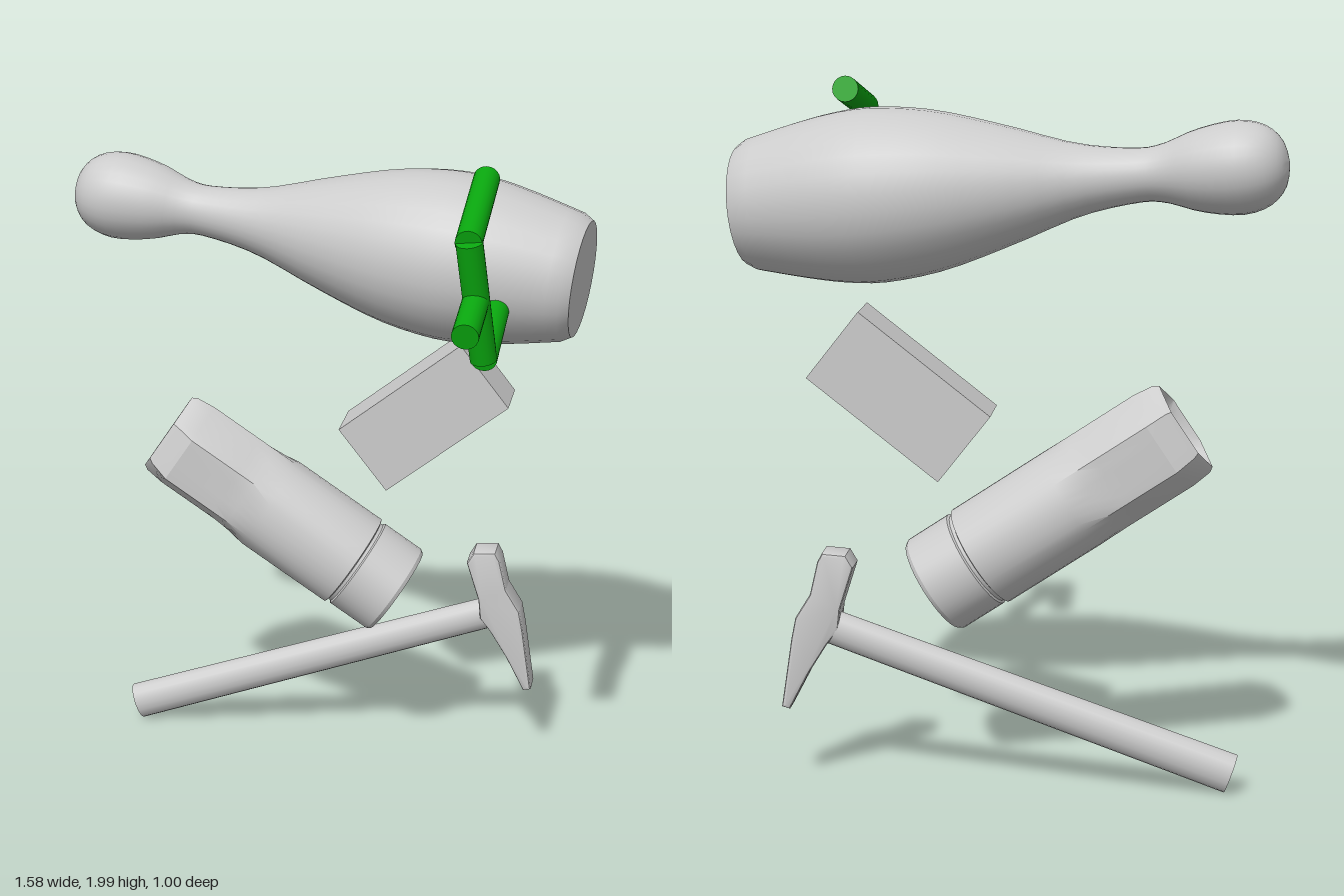
import * as THREE from 'three';
import { toCreasedNormals } from 'three/addons/utils/BufferGeometryUtils.js';

const UP = new THREE.Vector3(0, 1, 0);
const grey = new THREE.MeshStandardMaterial({ color: 0xcccccc });
const green = new THREE.MeshStandardMaterial({ color: 0x0aa80f });

function part(name, geometry, material = grey) {
  const mesh = new THREE.Mesh(geometry, material);
  mesh.name = name;
  return mesh;
}

// Cylinder between two points, optionally tapered and flattened in depth
function rod(name, from, to, r0, r1, material, flat = 1, sides = 20) {
  const a = new THREE.Vector3(...from), b = new THREE.Vector3(...to);
  const d = b.clone().sub(a);
  const mesh = part(name, new THREE.CylinderGeometry(r1, r0, d.length(), sides), material);
  mesh.position.copy(a).add(b).multiplyScalar(0.5);
  mesh.quaternion.setFromUnitVectors(UP, d.normalize());
  mesh.scale.z = flat;
  return mesh;
}

// Skin of rings stacked along y; ring = [height, round radius, flat distance, depth scale]
// A flat distance below the radius cuts six flats into the ring.
function hexLoft(rings, sides) {
  const pos = [], index = [];
  for (const [y, r, flat, depth = 1] of rings) {
    for (let j = 0; j <= sides; j++) {
      const t = (j / sides) * Math.PI * 2;
      const k = (t % (Math.PI / 3)) - Math.PI / 6;
      const d = Math.min(r, flat / Math.cos(k));
      pos.push(d * Math.cos(t), y, d * Math.sin(t) * depth);
    }
  }
  for (let i = 0; i < rings.length - 1; i++) {
    for (let j = 0; j < sides; j++) {
      const a = i * (sides + 1) + j, c = a + sides + 1;
      index.push(a, c, a + 1, a + 1, c, c + 1);
    }
  }
  const g = new THREE.BufferGeometry();
  g.setAttribute('position', new THREE.Float32BufferAttribute(pos, 3));
  g.setIndex(index);
  g.computeVertexNormals();
  return toCreasedNormals(g, 0.45);
}

function bowlingPin() {
  const curve = new THREE.SplineCurve([
    [0.19, 0.03], [0.222, 0.17], [0.243, 0.29], [0.249, 0.41], [0.226, 0.58],
    [0.168, 0.78], [0.102, 0.98], [0.077, 1.14], [0.082, 1.22], [0.115, 1.32],
    [0.131, 1.43], [0.112, 1.51], [0.065, 1.556], [0, 1.572],
  ].map(p => new THREE.Vector2(...p)));
  const profile = [new THREE.Vector2(0, 0), new THREE.Vector2(0.172, 0), ...curve.getPoints(40)];
  profile.forEach(p => { p.x = Math.max(0, p.x); });
  const pin = part('bowlingPin', toCreasedNormals(new THREE.LatheGeometry(profile, 28), 0.6));
  pin.position.set(0.765, 1.64, -0.2);
  pin.quaternion.setFromUnitVectors(UP, new THREE.Vector3(-1.42, 0.14, -0.17).normalize());
  return pin;
}

function gripper() {
  const g = new THREE.Group();
  g.name = 'gripper';
  const r = 0.038;
  const bars = {
    upperFinger: [[0.495, 1.963, -0.06], [0.495, 1.882, 0.335]],
    lowerFinger: [[0.535, 1.612, -0.135], [0.535, 1.532, 0.26]],
    crossbar: [[0.497, 1.885, 0.332], [0.535, 1.53, 0.262]],
    stem: [[0.514, 1.71, 0.295], [0.51, 1.667, 0.492]],
  };
  for (const [name, [a, b]] of Object.entries(bars)) g.add(rod(name, a, b, r, r, green));
  return g;
}

function block() {
  const box = part('block', new THREE.BoxGeometry(0.47, 0.24, 0.176));
  box.position.set(0.288, 1.14, -0.402);
  box.rotation.z = 0.665;
  return box;
}

// Round body with a grooved collar at one end and a dished hexagonal nose at the other
function socket() {
  const mesh = part('socket', hexLoft([
    [0, 0, 1], [0, 0.142, 1], [0.012, 0.15, 1], [0.148, 0.15, 1],
    [0.152, 0.143, 1], [0.162, 0.143, 1], [0.166, 0.155, 1],
    [0.48, 0.155, 0.155], [0.56, 0.155, 0.139], [0.62, 0.155, 0.135],
    [0.79, 0.155, 0.135], [0.85, 0.15, 0.128, 0.8], [0.865, 0.138, 0.12, 0.75],
    [0.84, 0.1, 0.1, 0.8], [0.815, 0.05, 0.05, 0.85], [0.81, 0, 0],
  ], 36));
  mesh.position.set(0.21, 0.5625, -0.335);
  mesh.rotation.z = Math.atan2(0.72, 0.48);
  return mesh;
}

function hammer() {
  const g = new THREE.Group();
  g.name = 'hammer';
  g.add(rod('handle', [-0.652, 0.06, -0.448], [0.5, 0.467, -0.448], 0.058, 0.05, grey, 0.76, 18));

  // Head: blunt face at the top, wedge at the bottom
  const b = 0.01;
  const outline = [
    [0.432, 0.645], [0.448, 0.672], [0.504, 0.676], [0.515, 0.655], [0.537, 0.56],
    [0.58, 0.49], [0.592, 0.43], [0.621, 0.238], [0.614, 0.236], [0.56, 0.34],
    [0.507, 0.425], [0.476, 0.465], [0.47, 0.525],
  ].map(p => new THREE.Vector2(...p));
  const geo = new THREE.ExtrudeGeometry(new THREE.Shape(outline), {
    depth: 0.1 - 2 * b, bevelEnabled: true, bevelSize: b, bevelThickness: b, bevelSegments: 2,
  });
  const head = part('head', toCreasedNormals(geo, 0.5));
  head.position.z = -0.488 + b;
  g.add(head);
  return g;
}

export function createModel() {
  const model = new THREE.Group();
  model.name = 'gripperAndObjects';
  model.add(bowlingPin(), gripper(), block(), socket(), hammer());
  return model;
}
